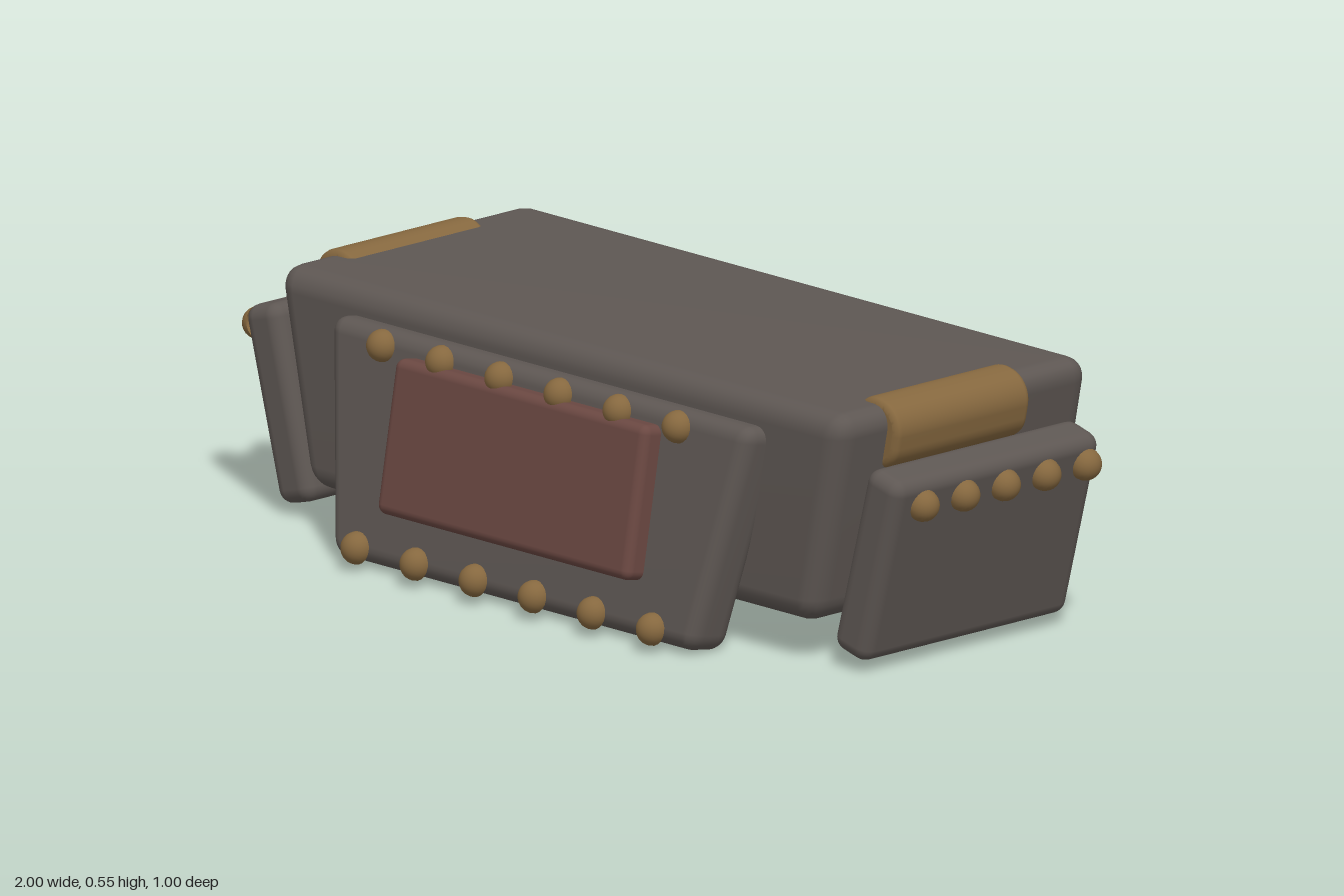
import * as THREE from 'three';
import { RoundedBoxGeometry } from 'three/addons/geometries/RoundedBoxGeometry.js';
import { mergeVertices } from 'three/addons/utils/BufferGeometryUtils.js';

const grey = new THREE.MeshStandardMaterial({ color: 0x5e5753 });
grey.name = 'dark grey plate';
const gold = new THREE.MeshStandardMaterial({ color: 0x86683f, side: THREE.DoubleSide });
gold.name = 'dull gold';
const red = new THREE.MeshStandardMaterial({ color: 0x6b4842 });
red.name = 'dark red';

const rad = THREE.MathUtils.degToRad;

// Rounded box whose bottom is narrower in x by the factor taper
function plate(name, w, h, d, radius, material, taper = 1) {
  let geo = new RoundedBoxGeometry(w, h, d, 3, radius);
  if (taper !== 1) {
    const p = geo.attributes.position;
    for (let i = 0; i < p.count; i++) {
      const t = p.getY(i) / h + 0.5;
      p.setX(i, p.getX(i) * THREE.MathUtils.lerp(taper, 1, t));
    }
    geo.deleteAttribute('normal');
    geo.deleteAttribute('uv');
    geo = mergeVertices(geo, 1e-5);
    geo.computeVertexNormals();
  }
  const mesh = new THREE.Mesh(geo, material);
  mesh.name = name;
  return mesh;
}

// Half dome whose flat side faces -z
const studGeo = new THREE.SphereGeometry(0.034, 20, 8, 0, Math.PI * 2, 0, Math.PI / 2).rotateX(Math.PI / 2);
function stud(x, y, z) {
  const mesh = new THREE.Mesh(studGeo, gold);
  mesh.name = 'stud';
  mesh.position.set(x, y, z);
  return mesh;
}

// Shoulder trim: rounded profile extruded front to back
function trimGeometry() {
  const w = 0.05, h = 0.058, r = 0.045;
  const s = new THREE.Shape();
  s.absarc(w - r, h - r, r, 0, Math.PI / 2);
  s.absarc(r - w, h - r, r, Math.PI / 2, Math.PI);
  s.absarc(r - w, r - h, r, Math.PI, Math.PI * 1.5);
  s.absarc(w - r, r - h, r, Math.PI * 1.5, Math.PI * 2);
  const geo = new THREE.ExtrudeGeometry(s, {
    depth: 0.345, bevelThickness: 0.015, bevelSize: 0.015, bevelSegments: 3, curveSegments: 8,
  });
  geo.translate(0, 0, -0.1725);
  geo.deleteAttribute('normal');
  geo.deleteAttribute('uv');
  const smooth = mergeVertices(geo, 1e-5);
  smooth.computeVertexNormals();
  return smooth;
}

export function createModel() {
  const model = new THREE.Group();
  model.name = 'armouredBelt';

  // Main block
  const body = plate('body', 1.66, 0.45, 0.71, 0.05, grey, 0.885);
  body.position.set(0, 0.315, -0.028);
  model.add(body);

  // Front panel with inset and two rows of studs
  const front = new THREE.Group();
  front.name = 'frontPanel';
  front.position.set(0, 0.245, 0.365);
  front.rotation.x = rad(-10);
  front.add(plate('frontPlate', 1.23, 0.478, 0.112, 0.035, grey, 0.85));
  const inset = plate('frontInset', 0.735, 0.32, 0.07, 0.02, red);
  inset.position.set(0, 0.037, 0.067);
  front.add(inset);
  for (const y of [-0.208, 0.208]) {
    for (let i = 0; i < 6; i++) front.add(stud(-0.43 + i * 0.172, y, 0.073));
  }
  model.add(front);

  // Back panel
  const back = plate('backPanel', 1.115, 0.385, 0.1, 0.03, grey);
  back.position.set(0, 0.28, -0.42);
  back.rotation.x = rad(10);
  model.add(back);

  // Side panels and shoulder trims
  const trimGeo = trimGeometry();
  for (const side of [1, -1]) {
    const panel = new THREE.Group();
    panel.name = side > 0 ? 'leftPanel' : 'rightPanel';
    panel.position.set(side * 0.857, 0.233, 0.004);
    panel.rotation.z = side * rad(-15);
    panel.add(plate('sidePlate', 0.1, 0.41, 0.578, 0.03, grey));
    for (let i = 0; i < 5; i++) {
      const s = stud(side * 0.07, 0.163, -0.226 + i * 0.1135);
      s.rotation.y = side * Math.PI / 2;
      panel.add(s);
    }
    model.add(panel);

    const trim = new THREE.Mesh(trimGeo, gold);
    trim.name = side > 0 ? 'leftTrim' : 'rightTrim';
    trim.position.set(side * 0.782, 0.479, 0.003);
    trim.rotation.z = side * rad(-12);
    model.add(trim);
  }
  return model;
}
